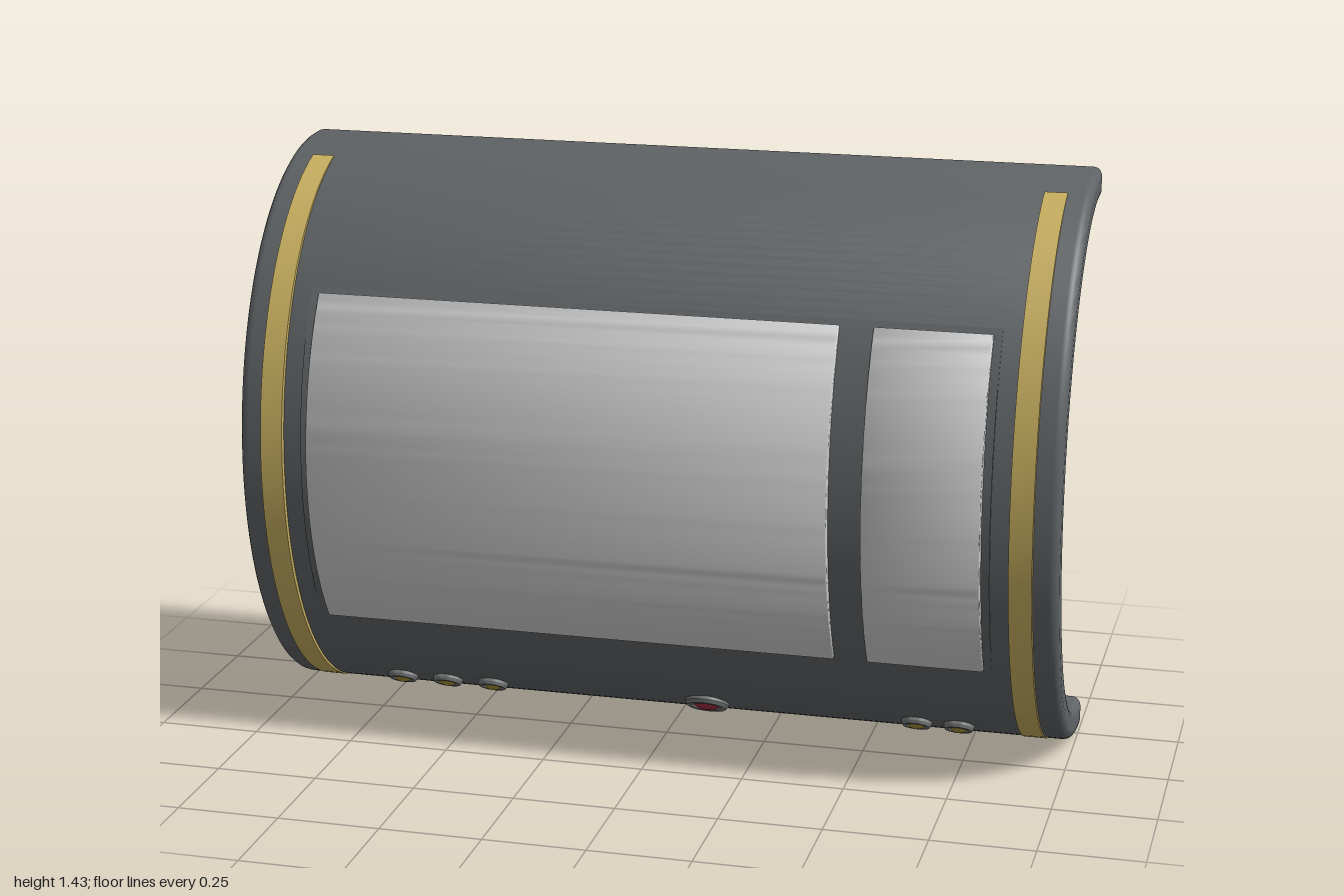
import * as THREE from 'three';
import { toCreasedNormals } from 'three/addons/utils/BufferGeometryUtils.js';

const CY = 0.715, CZ = -0.29, RY = 0.715, RZ = 0.575; // outer ellipse of the cuff
const BACK = -0.31, WALL = 0.074;

const mat = (color) => new THREE.MeshStandardMaterial({ color });
const shellMat = mat(0x5f6365), goldMat = mat(0xc9b060), screenMat = mat(0xcccccc);
const rimMat = mat(0x77797a), amberMat = mat(0xa08c38), redMat = mat(0xa03040);

// Angle on the ellipse for a height, and the outline point (shape x is -z) at an offset
const angleAt = (y) => Math.asin((y - CY) / RY);
const outline = (t, off) =>
  new THREE.Vector2(-(CZ + (RZ + off) * Math.cos(t)), CY + (RY + off) * Math.sin(t));

// Extrude a side profile along x from x0 to x1
function extrudeX(points, x0, x1, bevel) {
  const g = new THREE.ExtrudeGeometry(new THREE.Shape(points), {
    depth: x1 - x0 - 2 * bevel, bevelEnabled: bevel > 0, bevelSize: bevel,
    bevelThickness: bevel, bevelOffset: -bevel, bevelSegments: 4,
  });
  g.rotateY(Math.PI / 2).translate(x0 + bevel, 0, 0);
  return toCreasedNormals(g, 0.6);
}

function add(parent, name, geometry, material) {
  const m = new THREE.Mesh(geometry, material);
  m.name = name;
  parent.add(m);
  return m;
}

// Curved plate lying on the cuff, thickest at mid height
function plate(x0, x1, y0, y1, rise, edge, bevel) {
  const outer = [], inner = [], n = 48, a = angleAt(y0), b = angleAt(y1);
  for (let i = 0; i <= n; i++) {
    const u = i / n, t = a + (b - a) * u;
    outer.push(outline(t, edge + (rise - edge) * Math.sin(Math.PI * u)));
    inner.unshift(outline(t, -0.025));
  }
  return extrudeX([...outer, ...inner], x0, x1, bevel);
}

// Half-elliptical cuff with short straight lips at the back
function cuff() {
  const outer = [], inner = [], n = 80;
  for (let i = 0; i <= n; i++) {
    const t = -Math.PI / 2 + (Math.PI * i) / n;
    outer.push(outline(t, 0));
    inner.unshift(outline(t, -WALL));
  }
  const lip = (y) => new THREE.Vector2(-BACK, y);
  return extrudeX([lip(0), ...outer, lip(2 * CY), lip(2 * CY - WALL), ...inner, lip(WALL)], -1, 1, 0.022);
}

// Round button: a stepped rim with a domed cap, its axis along +y
function button(name, radius, capMat) {
  const g = new THREE.Group();
  g.name = name;
  const rim = [[0, -0.02], [1, -0.02], [1, 0.006], [0.88, 0.014], [0.68, 0.014], [0.62, 0.006], [0, 0.006]];
  add(g, name + 'Rim', toCreasedNormals(new THREE.LatheGeometry(
    rim.map(([r, y]) => new THREE.Vector2(r * radius, y)), 28), 0.5), rimMat);
  const cap = new THREE.SphereGeometry(radius * 0.64, 24, 8, 0, Math.PI * 2, 0, Math.PI / 2);
  cap.scale(1, 0.016 / (radius * 0.64), 1).translate(0, 0.004, 0);
  add(g, name + 'Cap', cap, capMat);
  return g;
}

export function createModel() {
  const model = new THREE.Group();
  model.name = 'wristComputer';
  add(model, 'cuff', cuff(), shellMat);

  // Low bezel and the two curved screens
  add(model, 'bezel', plate(-0.84, 0.84, 0.295, 1.14, 0.006, 0.001, 0), shellMat);
  add(model, 'mainScreen', plate(-0.82, 0.46, 0.31, 1.125, 0.028, 0.007, 0.004), screenMat);
  add(model, 'sideScreen', plate(0.54, 0.82, 0.31, 1.125, 0.028, 0.007, 0.004), screenMat);

  // Trim bands near both ends
  for (const [name, x] of [['rightTrim', -0.9125], ['leftTrim', 0.9125]])
    add(model, name, plate(x - 0.0275, x + 0.0275, 0.035, 1.4, 0.014, 0.002, 0), goldMat);

  // Row of buttons under the screens, facing outward from the cuff
  const t = angleAt(0.085), p = outline(t, 0);
  const normal = new THREE.Vector3(0, Math.sin(t) / RY, Math.cos(t) / RZ).normalize();
  [-0.7, -0.58, -0.46, 0.1, 0.63, 0.735].forEach((x, i) => {
    const main = i === 3;
    const b = button(main ? 'mainButton' : 'smallButton' + i, main ? 0.055 : 0.038, main ? redMat : amberMat);
    b.position.set(x, p.y, -p.x);
    b.quaternion.setFromUnitVectors(new THREE.Vector3(0, 1, 0), normal);
    model.add(b);
  });
  return model;
}
